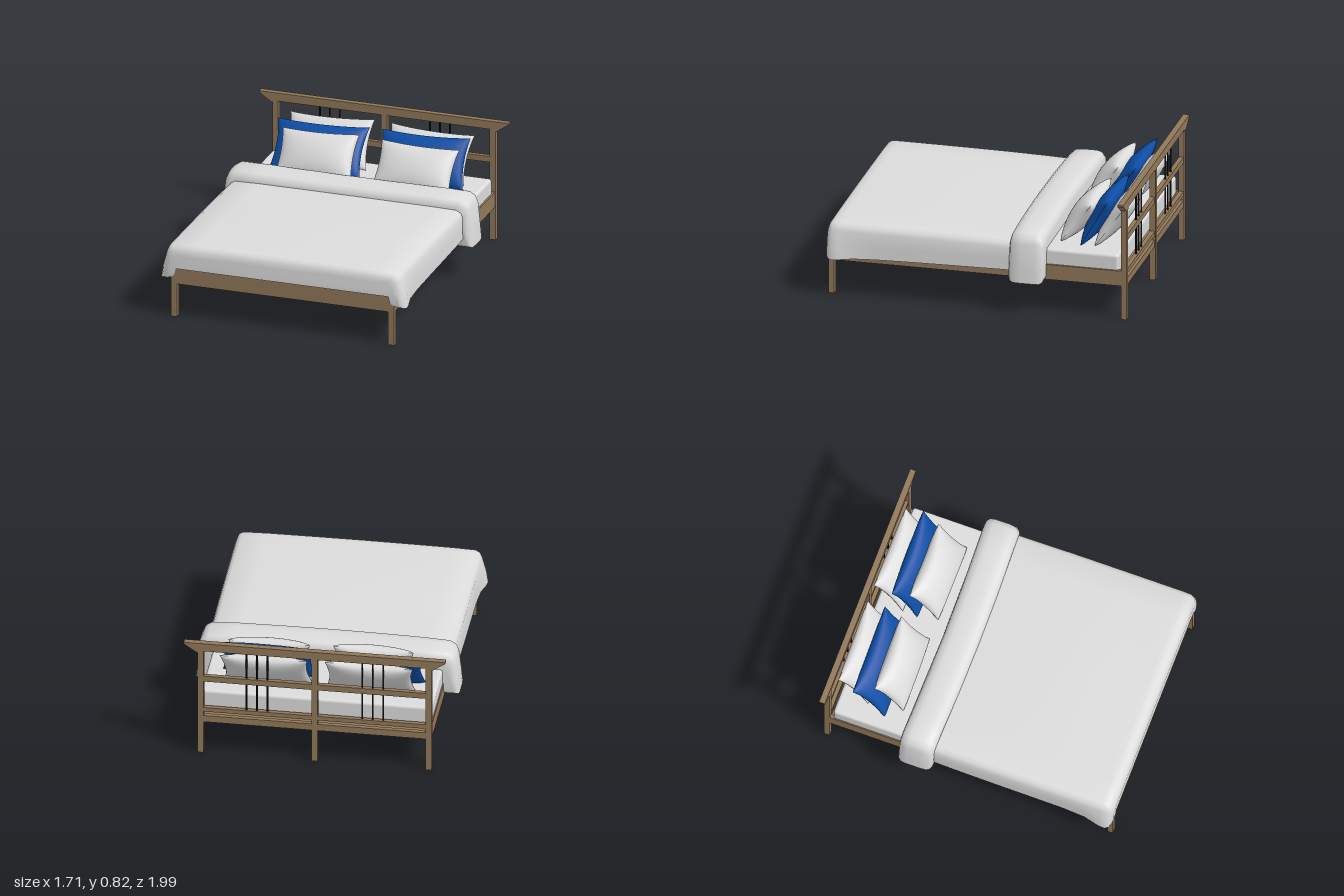
import * as THREE from 'three';
import { mergeGeometries, toCreasedNormals } from 'three/addons/utils/BufferGeometryUtils.js';
import { RoundedBoxGeometry } from 'three/addons/geometries/RoundedBoxGeometry.js';

const mat = (name, color) => {
  const m = new THREE.MeshStandardMaterial({ color });
  m.name = name;
  return m;
};

// Closed loft through counter-clockwise rings [{ z, pts: [[x, y], ...] }] with rising z
function loft(rings) {
  const n = rings[0].pts.length, pos = [], idx = [];
  rings.forEach(r => r.pts.forEach(([x, y]) => pos.push(x, y, r.z)));
  for (let i = 0; i < rings.length - 1; i++) {
    for (let j = 0; j < n; j++) {
      const k = (j + 1) % n, a = i * n + j, b = i * n + k;
      idx.push(a, b, b + n, a, b + n, a + n);
    }
  }
  const cap = r => THREE.ShapeUtils.triangulateShape(r.pts.map(p => new THREE.Vector2(...p)), []);
  const last = (rings.length - 1) * n;
  cap(rings[0]).forEach(([a, b, c]) => idx.push(a, c, b));
  cap(rings[rings.length - 1]).forEach(([a, b, c]) => idx.push(last + a, last + b, last + c));
  const g = new THREE.BufferGeometry();
  g.setAttribute('position', new THREE.Float32BufferAttribute(pos, 3));
  g.setIndex(idx);
  return toCreasedNormals(g, 0.9);
}

// Arch of cloth: half width w, top height, side hems, hem flare, shoulder softness, leg thickness
function arch({ w, top, hemL, hemR, flare, soft, thick, bump = 0 }) {
  const side = hem => [
    [w + flare, hem],
    [w + flare * 0.7, hem + 0.08],
    [w, top - soft],
    [w - soft * 0.25, top - soft * 0.4],
    [w - soft * 0.8, top - soft * 0.06],
    [0.6, top + bump * 0.3],
    [0.3, top + bump * 0.8]
  ];
  const inner = hem => [[w - thick, 0.335], [w + flare - thick, hem]];
  const flip = a => a.map(([x, y]) => [-x, y]);
  return [
    ...side(hemL), [0, top + bump], ...flip(side(hemR)).reverse(),
    ...flip(inner(hemR)).reverse(), ...inner(hemL)
  ];
}

// Cushion with pinched sides and pointed corners
function pillowGeometry(W, H, T) {
  const half = new THREE.PlaneGeometry(2, 2, 18, 18), p = half.attributes.position;
  for (let i = 0; i < p.count; i++) {
    const u = Math.sin(p.getX(i) * Math.PI / 2), v = Math.sin(p.getY(i) * Math.PI / 2);
    const bulge = Math.pow(Math.max(0, (1 - u * u) * (1 - v * v)), 0.42);
    p.setXYZ(i,
      u * W / 2 * (1 - 0.07 * (1 - v * v)),
      v * H / 2 * (1 - 0.09 * (1 - u * u)),
      bulge * T / 2);
  }
  half.computeVertexNormals();
  return mergeGeometries([half, half.clone().rotateY(Math.PI)]);
}

export function createModel() {
  const model = new THREE.Group();
  model.name = 'doubleBed';
  const wood = mat('wood', 0x92785a);
  const linen = mat('whiteLinen', 0xdcdcdc);
  const blue = mat('blueFabric', 0x0c4da4);
  const black = mat('blackMetal', 0x141414);

  const add = (name, geo, material, parent = model) => {
    const m = new THREE.Mesh(geo, material);
    m.name = name;
    parent.add(m);
    return m;
  };
  // Box from its lower and upper corners
  const box = (name, a, b, parent) => {
    const m = add(name, new THREE.BoxGeometry(b[0] - a[0], b[1] - a[1], b[2] - a[2]), wood, parent);
    m.position.set((a[0] + b[0]) / 2, (a[1] + b[1]) / 2, (a[2] + b[2]) / 2);
    return m;
  };

  // Headboard
  const head = new THREE.Group();
  head.name = 'headboard';
  model.add(head);
  for (const x of [-0.74, 0, 0.74]) box('headPost', [x - 0.02, 0, -0.998], [x + 0.02, 0.765, -0.96], head);
  for (const [y0, y1] of [[0.53, 0.57], [0.305, 0.335], [0.228, 0.275]]) {
    box('crossRail', [-0.73, y0, -0.994], [0.73, y1, -0.964], head);
  }
  const rail = new THREE.Shape([
    [-0.848, 0.816], [-0.848, 0.805], [-0.765, 0.748], [-0.72, 0.748], [-0.72, 0.76],
    [0.72, 0.76], [0.72, 0.748], [0.765, 0.748], [0.848, 0.805], [0.848, 0.816]
  ].map(p => new THREE.Vector2(...p)));
  add('topRail', new THREE.ExtrudeGeometry(rail, { depth: 0.04, bevelEnabled: false }), wood, head)
    .position.z = -1;
  for (const s of [-1, 1]) {
    for (const x of [0.307, 0.375, 0.443]) {
      add('headboardRod', new THREE.CylinderGeometry(0.006, 0.006, 0.45, 10), black, head)
        .position.set(s * x, 0.54, -0.979);
    }
  }

  // Bed frame
  for (const s of [-1, 1]) {
    box('frontLeg', [s * 0.74 - 0.02, 0, 0.938], [s * 0.74 + 0.02, 0.338, 0.976]);
    box('sideRail', [s * 0.745 - 0.013, 0.228, -0.97], [s * 0.745 + 0.013, 0.33, 0.95]);
  }
  box('footRail', [-0.73, 0.226, 0.942], [0.73, 0.335, 0.973]);
  box('basePanel', [-0.735, 0.23, -0.965], [0.735, 0.245, 0.95]);

  // Mattress
  add('mattress', new RoundedBoxGeometry(1.495, 0.13, 1.87, 4, 0.02), linen).position.set(-0.003, 0.367, -0.005);

  // Duvet: [z, half width, top, hem, flare, bump]
  const duvet = [
    [-0.35, 0.795, 0.478, 0.285, 0.0, 0.005],
    [-0.1, 0.795, 0.485, 0.283, 0.005, 0.01],
    [0.15, 0.797, 0.489, 0.28, 0.005, 0.015],
    [0.4, 0.797, 0.491, 0.276, 0.005, 0.022],
    [0.65, 0.797, 0.492, 0.27, 0.005, 0.014],
    [0.8, 0.797, 0.492, 0.265, 0.012, 0.008],
    [0.9, 0.797, 0.492, 0.258, 0.035, 0.006],
    [0.945, 0.795, 0.49, 0.256, 0.04, 0.005],
    [0.968, 0.786, 0.478, 0.26, 0.034, 0.004],
    [0.98, 0.772, 0.455, 0.272, 0.022, 0.003],
    [0.985, 0.758, 0.43, 0.29, 0.01, 0.002]
  ].map(([z, w, top, hem, flare, bump]) => ({
    z, pts: arch({ w, top, hemL: hem, hemR: hem, flare, soft: 0.05, thick: 0.035, bump })
  }));
  add('duvet', loft(duvet), linen);

  // Folded-back end of the duvet: [z, half width, top, hem lift]
  const fold = loft([
    [-0.462, 0.795, 0.495, 0.03],
    [-0.455, 0.815, 0.52, 0.012],
    [-0.435, 0.828, 0.54, 0],
    [-0.4, 0.832, 0.547, 0],
    [-0.31, 0.832, 0.547, 0],
    [-0.26, 0.828, 0.54, 0],
    [-0.238, 0.815, 0.522, 0.01],
    [-0.228, 0.795, 0.495, 0.03]
  ].map(([z, w, top, lift]) => ({
    z, pts: arch({ w, top, hemL: 0.222 + lift, hemR: 0.248 + lift, flare: 0.024, soft: 0.07, thick: 0.075 })
  })));
  // Slight sweep of the fold towards its ends
  const fp = fold.attributes.position;
  for (let i = 0; i < fp.count; i++) {
    const x = fp.getX(i);
    fp.setZ(i, fp.getZ(i) + 0.018 * (1 - Math.min(1, x * x / 0.6)) - 0.004);
  }
  add('duvetFold', fold, linen);

  // Pillows: [name, material, W, H, T, x, y, z, tilt, roll]
  const pillows = [
    ['backPillow', linen, 0.57, 0.34, 0.13, -0.34, 0.578, -0.853, -0.62, 0.03],
    ['backPillow', linen, 0.57, 0.34, 0.13, 0.335, 0.574, -0.853, -0.62, -0.02],
    ['bluePillow', blue, 0.62, 0.35, 0.13, -0.36, 0.568, -0.73, -0.66, 0.02],
    ['bluePillow', blue, 0.6, 0.34, 0.13, 0.34, 0.58, -0.745, -0.52, 0.02],
    ['frontPillow', linen, 0.52, 0.32, 0.15, -0.335, 0.57, -0.62, -0.64, 0.03],
    ['frontPillow', linen, 0.53, 0.32, 0.15, 0.335, 0.566, -0.62, -0.66, -0.01]
  ];
  for (const [name, m, W, H, T, x, y, z, tilt, roll] of pillows) {
    const p = add(name, pillowGeometry(W, H, T), m);
    p.position.set(x, y, z);
    p.rotation.set(tilt, 0, roll);
  }
  return model;
}
